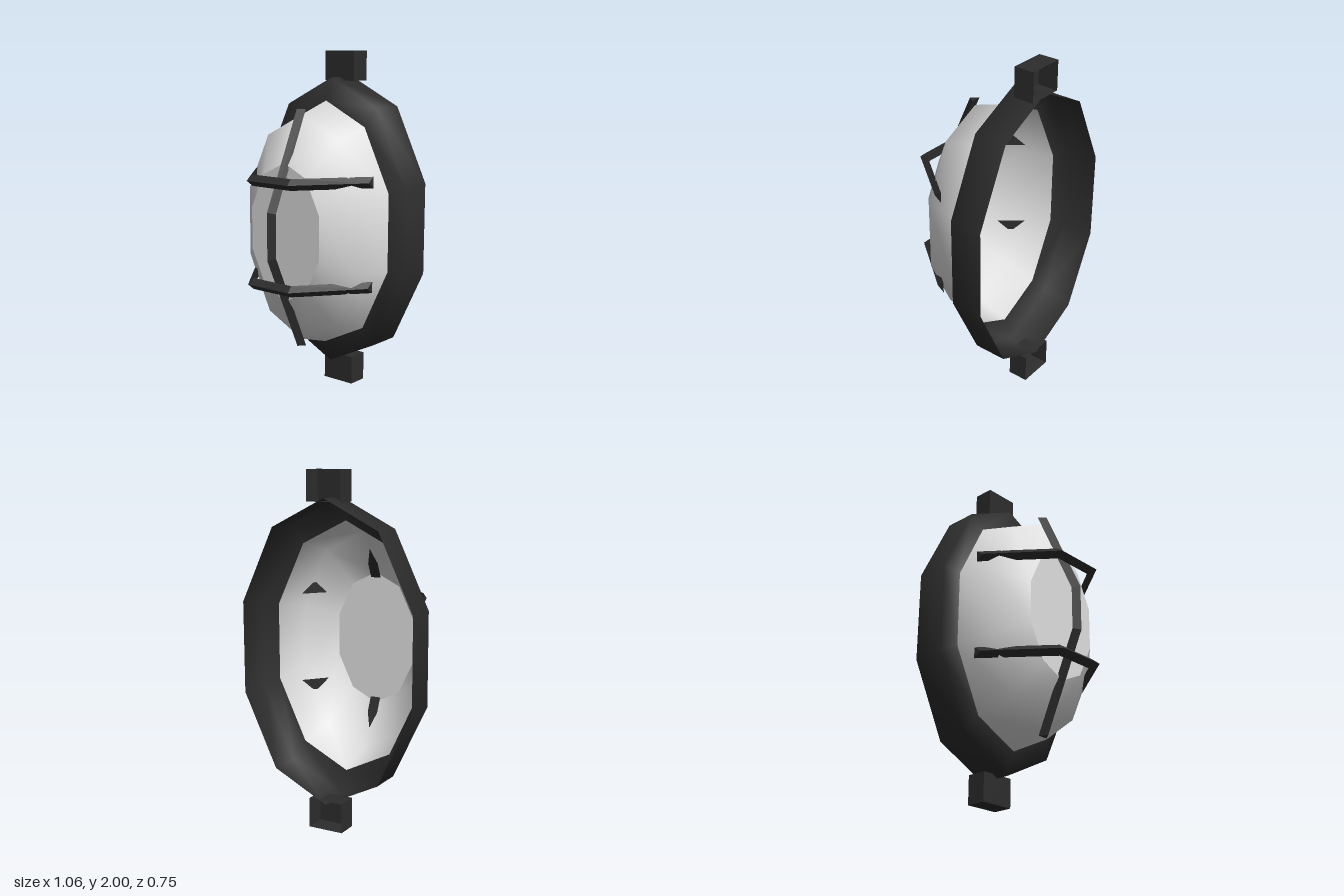
import * as THREE from 'three';

const SIDES = 10;
const CENTRE_Y = 1;

// Point on an upright ten-sided ellipse, starting at the top
function ringPoint(rx, ry, z, j) {
  const a = Math.PI / 2 + (j / SIDES) * Math.PI * 2;
  return [rx * Math.cos(a), CENTRE_Y + ry * Math.sin(a), z];
}

// Smooth shell through elliptical rings [rx, ry, z], listed back to front
function ringShell(rings) {
  const pos = [], index = [];
  for (const [rx, ry, z] of rings)
    for (let j = 0; j < SIDES; j++) pos.push(...ringPoint(rx, ry, z, j));
  for (let i = 0; i < rings.length - 1; i++)
    for (let j = 0; j < SIDES; j++) {
      const k = (j + 1) % SIDES;
      const a = i * SIDES + j, b = i * SIDES + k;
      index.push(a, b, b + SIDES, a, b + SIDES, a + SIDES);
    }
  const g = new THREE.BufferGeometry();
  g.setAttribute('position', new THREE.Float32BufferAttribute(pos, 3));
  g.setIndex(index);
  g.computeVertexNormals();
  return g;
}

// Bent guard bar along x with a triangular section: ridge outside, flat inside
function guardBar(end, bend, zEndOut, zEndIn, half) {
  const stations = [
    [-end, zEndOut, -end, zEndIn],
    [-bend, 0.375, -bend + 0.01, 0.338],
    [bend, 0.375, bend - 0.01, 0.338],
    [end, zEndOut, end, zEndIn],
  ];
  const pos = [], index = [];
  for (const [uo, zo, ui, zi] of stations)
    pos.push(uo, 0, zo, ui, -half, zi, ui, half, zi);
  for (let i = 0; i < 3; i++)
    for (let j = 0; j < 3; j++) {
      const a = i * 3 + j, b = i * 3 + (j + 1) % 3;
      index.push(a, b, b + 3, a, b + 3, a + 3);
    }
  index.push(2, 1, 0, 9, 10, 11);
  // Quads run p -> q around the section, so flip them to face outward if needed
  for (let t = 0; t < 54; t += 3) [index[t + 1], index[t + 2]] = [index[t + 2], index[t + 1]];
  const indexed = new THREE.BufferGeometry();
  indexed.setAttribute('position', new THREE.Float32BufferAttribute(pos, 3));
  indexed.setIndex(index);
  for (let t = 0; t < 54; t += 3) [index[t + 1], index[t + 2]] = [index[t + 2], index[t + 1]];
  indexed.setIndex(index);
  const g = indexed.toNonIndexed();
  g.computeVertexNormals();
  return g;
}

export function createModel() {
  const group = new THREE.Group();
  const dark = new THREE.MeshStandardMaterial({ color: 0x2d2d2d, side: THREE.DoubleSide });
  dark.name = 'dark metal';
  const glass = new THREE.MeshStandardMaterial({ color: 0xe0e0e0, side: THREE.DoubleSide });
  glass.name = 'frosted glass';

  function add(name, geometry, material) {
    const m = new THREE.Mesh(geometry, material);
    m.name = name;
    group.add(m);
    return m;
  }

  // Housing rim: open-backed wall with a bevel at the front
  add('rim', ringShell([[0.556, 0.85, -0.375], [0.556, 0.85, -0.18], [0.472, 0.72, -0.132]]), dark);

  // Glass dome with a flat front
  add('glassDome', ringShell([[0.472, 0.72, -0.132], [0.422, 0.65, 0.09], [0.263, 0.395, 0.23]]), glass);
  const outline = [];
  for (let j = 0; j < SIDES; j++) {
    const [x, y] = ringPoint(0.263, 0.395, 0, j);
    outline.push(new THREE.Vector2(x, y));
  }
  add('glassFront', new THREE.ShapeGeometry(new THREE.Shape(outline)), glass).position.z = 0.23;

  // Guard cage: one upright bar and two crossbars
  const upright = add('uprightGuard', guardBar(0.685, 0.135, 0.125, 0.085, 0.032), dark);
  upright.rotation.z = Math.PI / 2;
  upright.position.y = CENTRE_Y;
  for (const [name, y] of [['upperGuard', 1.298], ['lowerGuard', 0.708]])
    add(name, guardBar(0.425, 0.15, 0.022, -0.022, 0.032), dark).position.y = y;

  // Mounting lugs, hollow from behind
  for (const [name, y] of [['topLug', 1.915], ['bottomLug', 0.085]]) {
    const g = new THREE.BoxGeometry(0.21, 0.17, 0.12);
    g.setIndex(Array.from(g.index.array).slice(0, 30));
    g.clearGroups();
    add(name, g, dark).position.set(0, y, -0.315);
  }

  return group;
}
